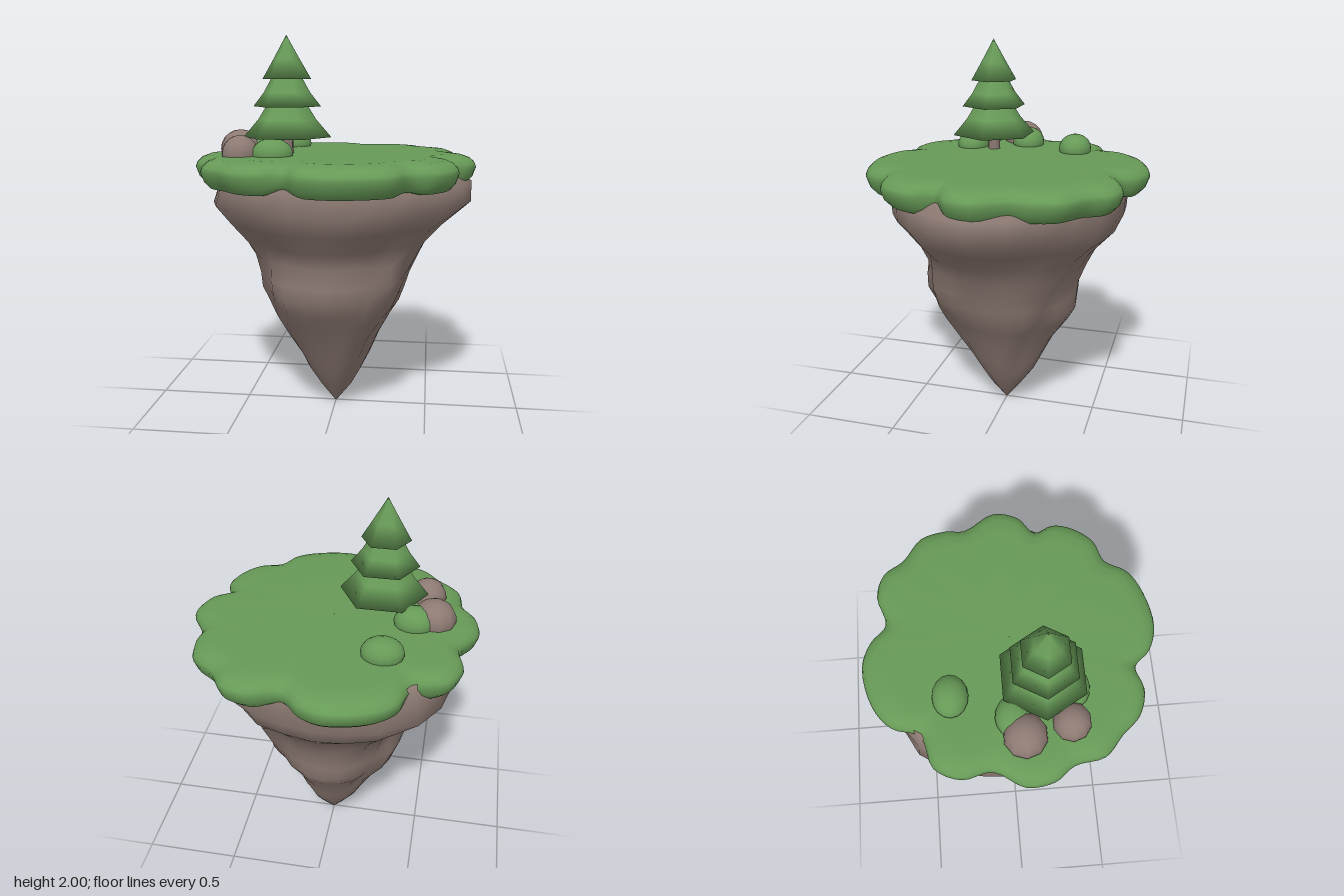
import * as THREE from 'three';

const grass = new THREE.MeshStandardMaterial({ name: 'grass green', color: 0x679a57 });
const stone = new THREE.MeshStandardMaterial({ name: 'stone brown', color: 0x8d7a73 });

// Skin a stack of closed rings (bottom to top, angle running from +x to +z).
function loft(rings) {
  const n = rings[0].length;
  const index = [];
  for (let i = 0; i < rings.length - 1; i++) {
    for (let j = 0; j < n; j++) {
      const a = i * n + j, b = i * n + (j + 1) % n;
      index.push(a, a + n, b, b, a + n, b + n);
    }
  }
  const geo = new THREE.BufferGeometry();
  geo.setAttribute('position', new THREE.Float32BufferAttribute(rings.flat(2), 3));
  geo.setIndex(index);
  geo.computeVertexNormals();
  return geo;
}

function part(name, geometry, material, x = 0, y = 0, z = 0) {
  const mesh = new THREE.Mesh(geometry, material);
  mesh.name = name;
  mesh.position.set(x, y, z);
  return mesh;
}

// Hanging rock: each level gives height and reach to right(+x), front, left(-x), back.
function rockGeometry() {
  const levels = [
    [0, 0.004, 0.004, 0.004, 0.004],
    [0.11, 0.09, 0.09, 0.085, 0.09],
    [0.2, 0.14, 0.15, 0.145, 0.155],
    [0.3, 0.19, 0.21, 0.195, 0.205],
    [0.42, 0.24, 0.28, 0.27, 0.265],
    [0.53, 0.3, 0.35, 0.34, 0.345],
    [0.6, 0.345, 0.4, 0.365, 0.385],
    [0.68, 0.375, 0.45, 0.4, 0.39],
    [0.76, 0.4, 0.455, 0.41, 0.4],
    [0.86, 0.445, 0.44, 0.44, 0.44],
    [0.95, 0.49, 0.48, 0.49, 0.485],
    [1.05, 0.59, 0.57, 0.565, 0.58],
    [1.15, 0.715, 0.62, 0.64, 0.625],
    [1.26, 0.715, 0.62, 0.6, 0.63],
    [1.36, 0.6, 0.56, 0.56, 0.63],
    [1.37, 0.002, 0.002, 0.002, 0.002],
  ];
  const n = 24;
  return loft(levels.map(([y, right, front, left, back]) =>
    Array.from({ length: n }, (_, j) => {
      const a = j / n * Math.PI * 2, c = Math.cos(a), s = Math.sin(a);
      const rx = c > 0 ? right : left, rz = s > 0 ? front : back;
      // pointed plan below; near the top the left corners grow squarer
      const top = THREE.MathUtils.smoothstep(y, 0.9, 1.25);
      const corner = c > 0 ? 1.72 : s > 0 ? 2.4 : 2.8;
      const p = THREE.MathUtils.lerp(1.85, corner, top);
      let r = (Math.abs(c / rx) ** p + Math.abs(s / rz) ** p) ** (-1 / p);
      // ridges and hollows between the four main spurs
      const rough = Math.sin(2 * a) ** 2 * (1 - top) * Math.min(1, y * 3);
      r *= 1 + rough * (0.05 * Math.sin(5 * a + 6 * y) + 0.04 * Math.sin(8 * a - 14 * y));
      return [c * r, y, s * r];
    })));
}

// Turf cap: scalloped outline swept through a rounded rim profile.
function turfGeometry() {
  const outline = [
    [0.735, -0.03], [0.7, 0.1], [0.605, 0.18], [0.64, 0.28], [0.615, 0.38], [0.53, 0.485],
    [0.41, 0.53], [0.34, 0.64], [0.22, 0.705], [0.03, 0.735], [-0.1, 0.69], [-0.18, 0.61],
    [-0.3, 0.64], [-0.43, 0.6], [-0.52, 0.505], [-0.62, 0.41], [-0.65, 0.26], [-0.72, 0.16],
    [-0.735, 0.02], [-0.65, -0.13], [-0.675, -0.28], [-0.61, -0.41], [-0.45, -0.465],
    [-0.4, -0.6], [-0.29, -0.69], [-0.08, -0.738], [0.04, -0.7], [0.14, -0.615],
    [0.3, -0.655], [0.42, -0.62], [0.49, -0.52], [0.615, -0.42], [0.65, -0.29], [0.645, -0.19],
  ];
  const curve = new THREE.CatmullRomCurve3(
    outline.map(([x, z]) => new THREE.Vector3(x, 0, z)), true);
  const points = curve.getPoints(136).slice(0, -1);
  // [inset from the outline as a fraction, height, share of lobe sag]
  const profile = [
    [0.98, 1.3, 0], [0.25, 1.29, 0.6], [0.13, 1.28, 1], [0.07, 1.284, 1], [0.025, 1.303, 0.6],
    [0, 1.333, 0], [0.012, 1.357, 0], [0.045, 1.379, 0], [0.1, 1.394, 0], [0.2, 1.402, 0],
    [0.55, 1.406, 0], [0.998, 1.408, 0],
  ];
  return loft(profile.map(([inset, y, sag]) => points.map((p) => {
    const lobe = THREE.MathUtils.clamp((p.length() - 0.62) / 0.09, 0, 1);
    // the underside tucks in less between lobes
    const s = 1 - inset * (y < 1.33 && inset < 0.2 ? 0.45 + 0.55 * lobe : 1);
    return [p.x * s, y - 0.035 * sag * lobe, p.z * s];
  })));
}

// Conifer: three six-sided skirts over a short trunk.
function createTree() {
  const tree = new THREE.Group();
  tree.name = 'tree';
  tree.position.set(-0.235, 0, 0.14);
  const tiers = [
    [[0.228, 1.49], [0.15, 1.58], [0.1, 1.66]],
    [[0.175, 1.645], [0.12, 1.715], [0.075, 1.795]],
    [[0.125, 1.783], [0.068, 1.88], [0, 2]],
  ];
  tiers.forEach((tier, i) => {
    const profile = [[0, tier[0][1]], ...tier].map(([r, y]) => new THREE.Vector2(r, y));
    const skirt = part('treeTier' + (i + 1), new THREE.LatheGeometry(profile, 6), grass);
    skirt.rotation.y = Math.PI / 6;
    tree.add(skirt);
  });
  tree.add(part('trunk', new THREE.CylinderGeometry(0.03, 0.035, 0.14, 6), stone, 0, 1.45, 0));
  return tree;
}

export function createModel() {
  const model = new THREE.Group();
  model.name = 'floatingIsland';
  model.add(part('rockBase', rockGeometry(), stone));
  model.add(part('turf', turfGeometry(), grass));
  model.add(createTree());

  // Bushes and boulders: [x, y, z, half width, half height, half depth]
  const mounds = [
    ['bush', grass, 16, [
      [-0.287, 1.42, -0.307, 0.107, 0.078, 0.088],
      [-0.41, 1.42, -0.015, 0.105, 0.08, 0.088],
      [-0.287, 1.415, 0.275, 0.105, 0.078, 0.088]]],
    ['boulder', stone, 10, [
      [-0.505, 1.415, 0.035, 0.112, 0.104, 0.108],
      [-0.455, 1.41, 0.26, 0.097, 0.095, 0.094]]],
  ];
  for (const [name, material, sides, list] of mounds) {
    list.forEach(([x, y, z, w, h, d], i) => {
      const mound = part(name + (i + 1), new THREE.SphereGeometry(1, sides, 10), material, x, y, z);
      mound.scale.set(w, h, d);
      model.add(mound);
    });
  }
  return model;
}
